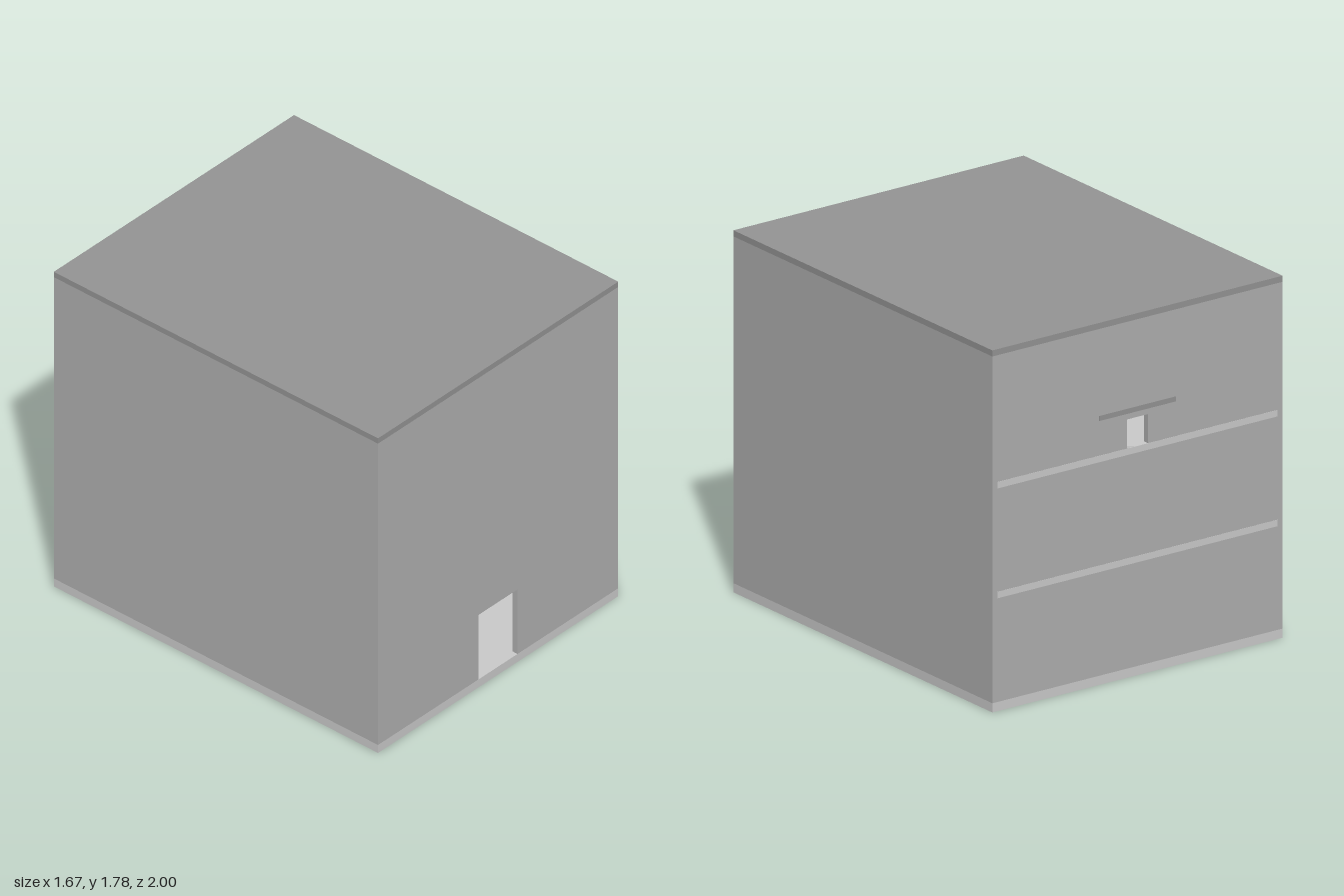
import * as THREE from 'three';

const W = 1.67, D = 2, T = 0.03;         // outer width, depth, wall thickness
const BASE = 0.045, EAVES = 1.75, TOP = 1.78;

const paint = (color) => new THREE.MeshStandardMaterial({ color, flatShading: true });

function rectPoints(x0, y0, x1, y1) {
  return [[x0, y0], [x1, y0], [x1, y1], [x0, y1]].map(([x, y]) => new THREE.Vector2(x, y));
}

function extrude(shape, depth) {
  return new THREE.ExtrudeGeometry(shape, { depth, bevelEnabled: false });
}

export function createModel() {
  const model = new THREE.Group();
  const slabMat = paint(0xcccccc), wallMat = paint(0xb0b0b0), roofMat = paint(0x959595);

  function add(name, geometry, material, x = 0, y = 0, z = 0) {
    const mesh = new THREE.Mesh(geometry, material);
    mesh.name = name;
    mesh.position.set(x, y, z);
    model.add(mesh);
    return mesh;
  }

  // Horizontal slab with a long stairwell opening
  function addSlab(name, y, height, halfWidth, zBack, zFront) {
    const shape = new THREE.Shape(rectPoints(-halfWidth, -zFront, halfWidth, -zBack));
    shape.holes.push(new THREE.Path(rectPoints(0.46, -0.43, 0.63, 0.65)));
    const geometry = extrude(shape, height);
    geometry.rotateX(-Math.PI / 2);
    add(name, geometry, slabMat, 0, y, 0);
  }

  // Ground slab and the two upper floors, whose edges show on the back wall
  addSlab('groundSlab', 0, BASE, W / 2, -D / 2, D / 2);
  [0.555, 1.095].forEach((y, i) =>
    addSlab(`upperFloor${i + 1}`, y, 0.032, W / 2 - T, -D / 2 - 0.001, D / 2 - T));

  // Front wall with a doorway reaching down to the slab
  const front = new THREE.Shape([
    [-W / 2, BASE], [-0.135, BASE], [-0.135, 0.41], [0.135, 0.41],
    [0.135, BASE], [W / 2, BASE], [W / 2, EAVES], [-W / 2, EAVES],
  ].map(([x, y]) => new THREE.Vector2(x, y)));
  add('frontWall', extrude(front, T), wallMat, 0, 0, D / 2 - T);

  // Back wall with a small window
  const back = new THREE.Shape(rectPoints(-W / 2, BASE, W / 2, EAVES));
  back.holes.push(new THREE.Path(rectPoints(-0.06, 1.127, 0.06, 1.27)));
  add('backWall', extrude(back, T), wallMat, 0, 0, -D / 2);

  // Side walls
  for (const side of [-1, 1]) {
    add(side > 0 ? 'leftWall' : 'rightWall',
      new THREE.BoxGeometry(T, EAVES - BASE, D - 2 * T), wallMat,
      side * (W - T) / 2, (EAVES + BASE) / 2, 0);
  }

  // Flush lintel above the window
  add('windowLintel', new THREE.BoxGeometry(0.44, 0.025, T), roofMat, 0, 1.31, -D / 2 + T / 2 - 0.001);

  // Flat roof
  add('roof', new THREE.BoxGeometry(W, TOP - EAVES, D), roofMat, 0, (TOP + EAVES) / 2, 0);

  return model;
}
